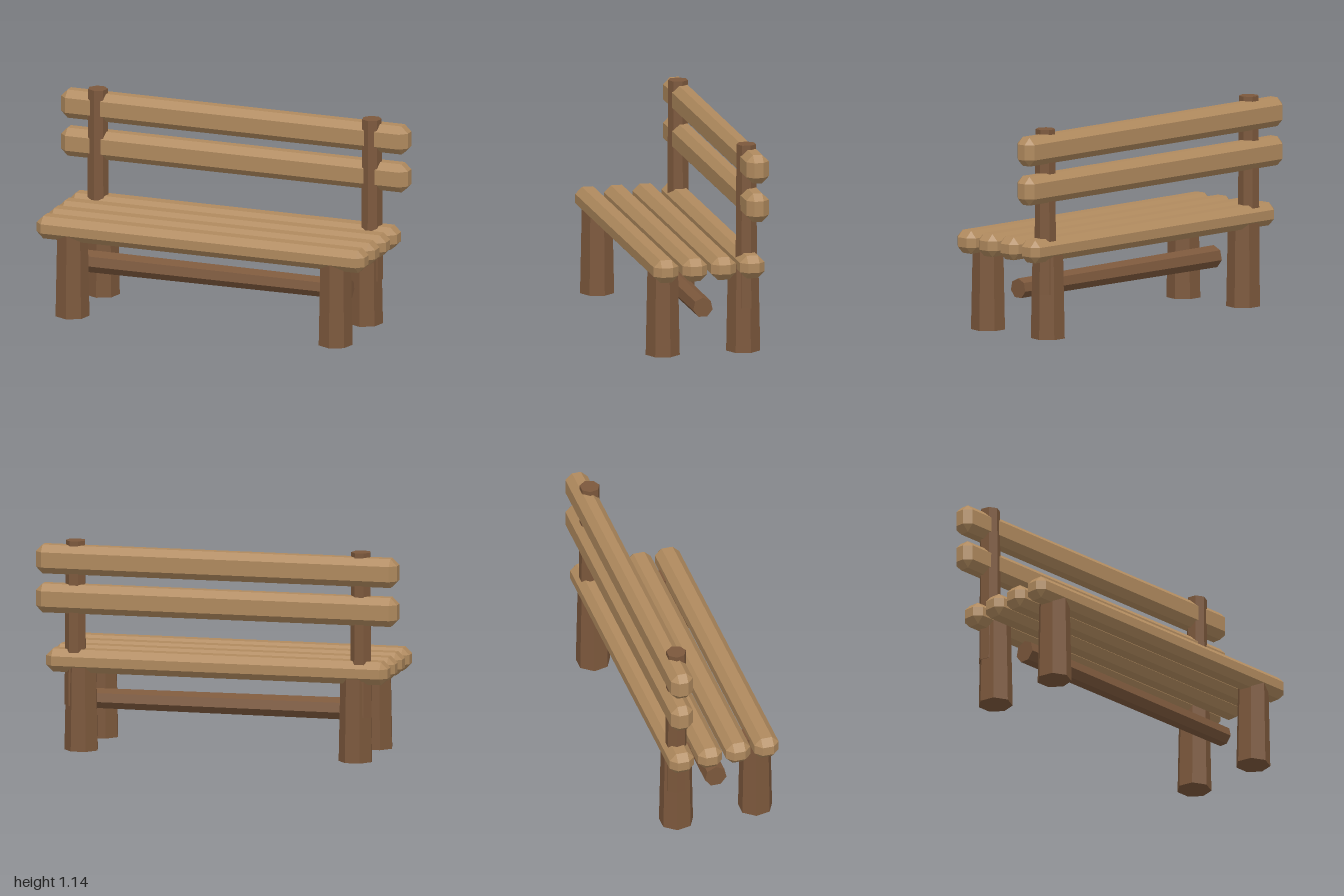
import * as THREE from 'three';
import { ConvexGeometry } from 'three/addons/geometries/ConvexGeometry.js';

export function createModel() {
  const bench = new THREE.Group();
  bench.name = 'bench';
  const lightWood = new THREE.MeshStandardMaterial({ color: 0xb08a5e, flatShading: true });
  lightWood.name = 'lightWood';
  const darkWood = new THREE.MeshStandardMaterial({ color: 0x7c583c, flatShading: true });
  darkWood.name = 'darkWood';

  function add(name, geometry, material, x, y, z) {
    const mesh = new THREE.Mesh(geometry, material);
    mesh.name = name;
    mesh.position.set(x, y, z);
    bench.add(mesh);
    return mesh;
  }

  // Box with every edge and corner cut off by the same bevel
  function bevelledBox(w, h, d, bevel) {
    const half = [w / 2, h / 2, d / 2];
    const points = [];
    for (const sx of [-1, 1]) for (const sy of [-1, 1]) for (const sz of [-1, 1]) {
      for (let outer = 0; outer < 3; outer++) {
        const p = [sx, sy, sz].map((s, i) => s * (half[i] - (i === outer ? 0 : bevel)));
        points.push(new THREE.Vector3(...p));
      }
    }
    return new ConvexGeometry(points);
  }

  // Seat: four planks side by side
  const seatPlank = bevelledBox(1.89, 0.125, 0.136, 0.037);
  [0.239, 0.08, -0.078, -0.237].forEach((z, i) =>
    add(`seatPlank${i + 1}`, seatPlank, lightWood, 0, 0.4875, z));

  // Backrest: two longer planks
  const backPlank = bevelledBox(2, 0.157, 0.124, 0.037);
  add('lowerBackPlank', backPlank, lightWood, 0, 0.825, -0.253);
  add('upperBackPlank', backPlank, lightWood, 0, 1.037, -0.253);

  // Tapered seven-sided legs and back posts
  const leg = new THREE.CylinderGeometry(0.084, 0.094, 0.485, 7);
  const post = new THREE.CylinderGeometry(0.054, 0.061, 0.895, 7);
  for (const [side, s] of [['left', 1], ['right', -1]]) {
    add(`${side}FrontLeg`, leg, darkWood, s * 0.759, 0.2425, 0.222);
    add(`${side}BackLeg`, leg, darkWood, s * 0.759, 0.2425, -0.222);
    add(`${side}BackPost`, post, darkWood, s * 0.79, 0.6925, -0.232);
  }

  // Log stretcher under the seat, thicker at its right end
  const stretcher = new THREE.CylinderGeometry(0.0615, 0.055, 1.52, 7);
  stretcher.rotateY(Math.PI / 2).rotateZ(Math.PI / 2);
  add('stretcher', stretcher, darkWood, 0, 0.243, 0);

  return bench;
}
